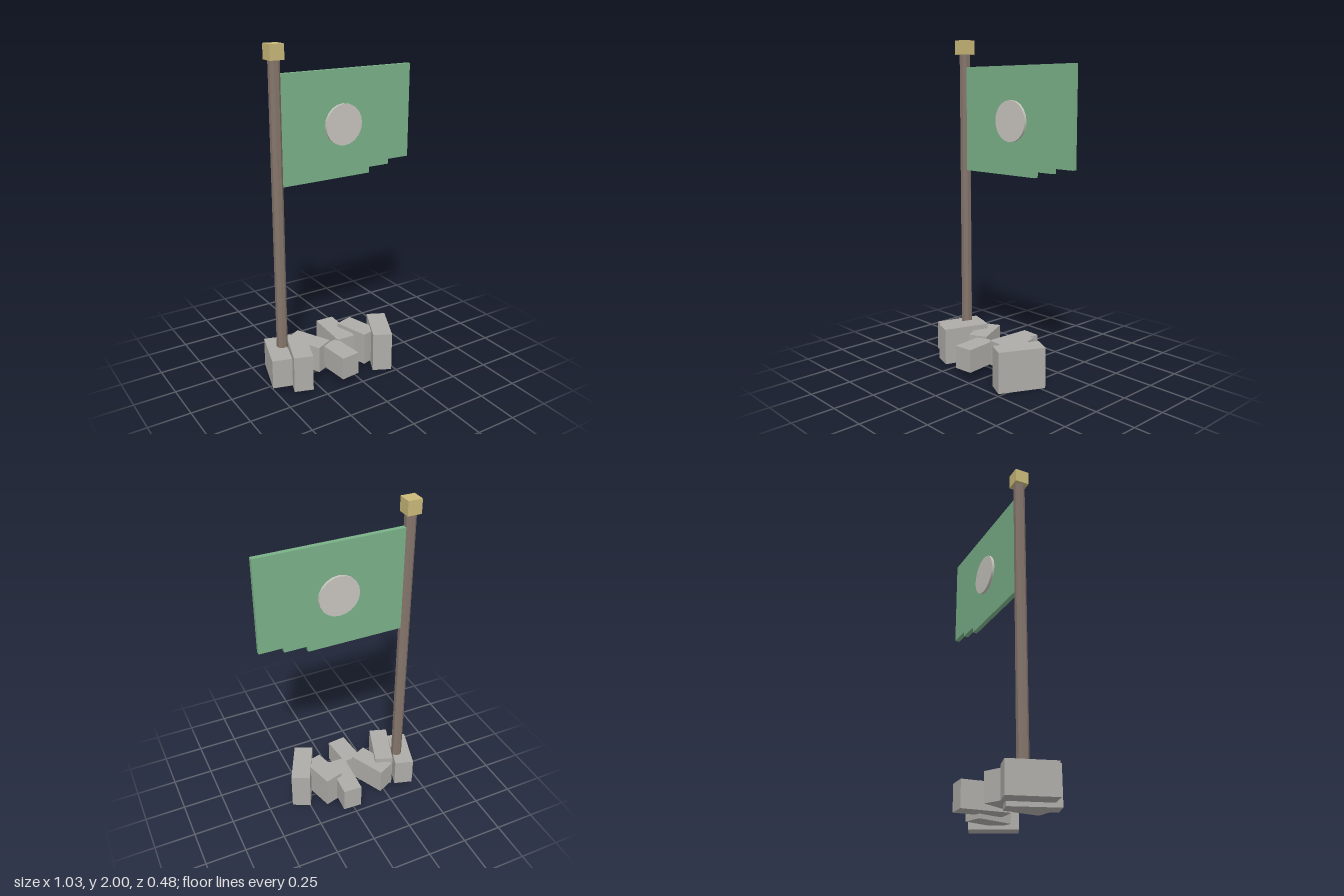
import * as THREE from 'three';

const mat = (name, color) => {
  const m = new THREE.MeshStandardMaterial({ color });
  m.name = name;
  return m;
};

export function createModel() {
  const group = new THREE.Group();
  const stone = mat('stone grey', 0xaeaca8);
  const wood = mat('wood brown', 0x84756b);
  const green = mat('flag green', 0x7ab188);
  const pale = mat('emblem pale grey', 0xc8c5bf);
  const gold = mat('cap gold', 0xcab979);

  const add = (name, geometry, material, x, y, z) => {
    const mesh = new THREE.Mesh(geometry, material);
    mesh.name = name;
    mesh.position.set(x, y, z);
    group.add(mesh);
    return mesh;
  };

  const poleX = -0.38, poleZ = -0.063;

  // Octagonal pole with flat sides to the front, and its square cap
  const poleGeo = new THREE.CylinderGeometry(0.0335, 0.0335, 1.84, 8).toNonIndexed();
  poleGeo.rotateY(Math.PI / 8);
  poleGeo.computeVertexNormals();
  add('pole', poleGeo, wood, poleX, 1.02, poleZ);
  add('poleCap', new THREE.BoxGeometry(0.085, 0.085, 0.085), gold, poleX, 1.9575, poleZ);

  // Flag with a stepped, torn lower edge
  const outline = [
    [poleX, 1.21], [0.23, 1.21], [0.23, 1.245], [0.37, 1.245],
    [0.37, 1.275], [0.515, 1.275], [0.515, 1.84], [poleX, 1.84],
  ].map(([x, y]) => new THREE.Vector2(x, y));
  const flagGeo = new THREE.ExtrudeGeometry(new THREE.Shape(outline), { depth: 0.028, bevelEnabled: false });
  add('flag', flagGeo, green, 0, 0, poleZ - 0.014);

  // Round emblem running through the flag
  const discGeo = new THREE.CylinderGeometry(0.121, 0.121, 0.06, 20);
  discGeo.rotateX(Math.PI / 2);
  add('emblemDisc', discGeo, pale, 0.045, 1.525, poleZ);

  // Loose stones around the foot: x, z, width, height, length, turn
  const stones = [
    [-0.42, -0.044, 0.118, 0.18, 0.277, -0.293],
    [-0.311, 0.026, 0.114, 0.225, 0.286, -0.333],
    [-0.202, -0.058, 0.117, 0.165, 0.24, 0.453],
    [-0.087, 0.127, 0.117, 0.14, 0.21, 0.106],
    [0.018, -0.1, 0.117, 0.155, 0.288, -0.048],
    [0.127, -0.01, 0.117, 0.205, 0.227, 0.27],
    [0.238, 0.075, 0.117, 0.245, 0.283, -0.455],
  ];
  stones.forEach(([x, z, w, h, l, turn], i) => {
    add('stone' + (i + 1), new THREE.BoxGeometry(w, h, l), stone, x, 0.1235, z).rotation.y = turn;
  });

  return group;
}
